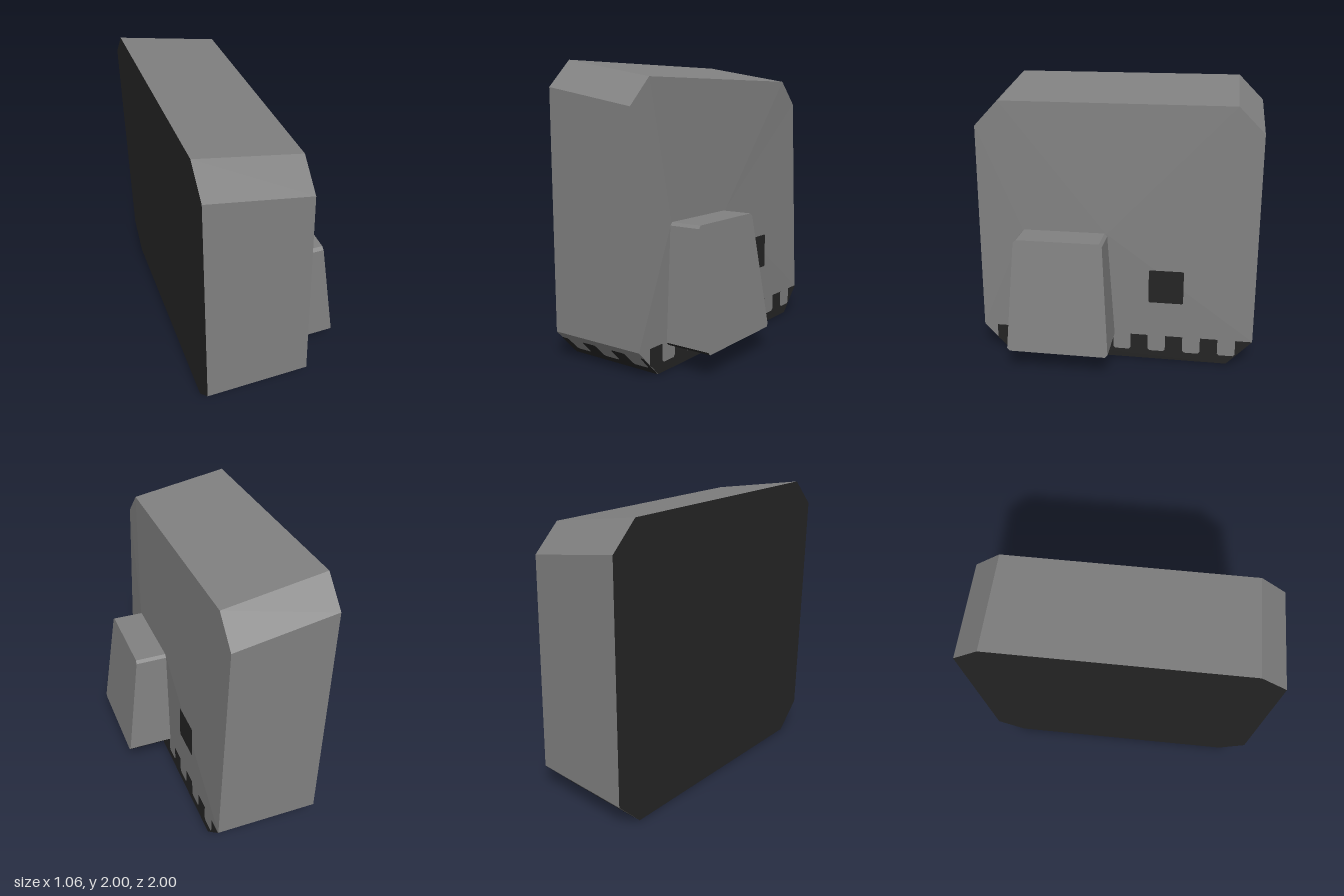
import * as THREE from 'three';

const grey = new THREE.MeshStandardMaterial({ color: 0x808080 });
grey.name = 'grey';
const dark = new THREE.MeshStandardMaterial({ color: 0x242424 });
dark.name = 'charcoal';

// Flat-shaded mesh from a list of triangles, each made of three [x, y, z] corners
function facetMesh(name, triangles, material) {
  const geometry = new THREE.BufferGeometry();
  geometry.setAttribute('position', new THREE.Float32BufferAttribute(triangles.flat(2), 3));
  geometry.computeVertexNormals();
  const mesh = new THREE.Mesh(geometry, material);
  mesh.name = name;
  return mesh;
}

// Two triangles joining edge i of the outer ring to the inner ring
function rimQuad(outer, inner, i) {
  const j = (i + 1) % outer.length;
  return [[outer[j], outer[i], inner[i]], [outer[j], inner[i], inner[j]]];
}

const fan = ring => ring.slice(2).map((p, i) => [ring[0], ring[i + 1], p]);

function plate(name, points) {
  const shape = new THREE.Shape(points.map(p => new THREE.Vector2(...p)));
  const mesh = new THREE.Mesh(new THREE.ShapeGeometry(shape), dark);
  mesh.name = name;
  return mesh;
}

// Upper outline of a row of teeth, left to right, with cut notch corners
function toothLine(notches, base, top, cutTop) {
  const c = 0.014;
  return notches.flatMap(([a, b]) => [
    [a - cutTop, top], [a, top - cutTop], [a, base + c], [a + c, base],
    [b - c, base], [b, base + c], [b, top - cutTop], [b + cutTop, top],
  ]);
}

function buildBody() {
  const body = new THREE.Group();
  body.name = 'body';
  // Octagon corners [z, right y, left y, right x], from the bottom front corner
  const corners = [
    [0.82, 0, 0, 0.2], [-0.82, 0, 0, 0.2], [-1, 0.19, 0.19, 0.2], [-1, 1.7, 1.82, 0.155],
    [-0.82, 1.88, 2, 0.155], [0.82, 1.88, 2, 0.155], [1, 1.7, 1.82, 0.155], [1, 0.19, 0.19, 0.2],
  ];
  const outer = corners.map(([z, y, , x]) => [x, y, z]);
  const inner = corners.map(([z, , y]) => [-0.53, y, z]);
  const [H, G, F, E, D, C, B, A] = outer;
  // The upper part of the broad face folds back from these two points
  const P = [0.2, 0.96, 0.67], Q = [0.2, 0.96, 0.06];
  const face = [
    [H, G, F], [H, F, A], [A, F, Q], [A, Q, P], [A, P, B],
    [B, P, C], [C, P, Q], [C, Q, D], [D, Q, E], [E, Q, F],
  ];
  const rim = [1, 2, 3, 4, 5, 6, 7].flatMap(i => rimQuad(outer, inner, i));
  body.add(facetMesh('broadFace', face, grey));
  body.add(facetMesh('rim', rim, grey));
  body.add(facetMesh('underside', rimQuad(outer, inner, 0), dark));
  body.add(facetMesh('backPanel', fan([...inner].reverse()), dark));
  return body;
}

function buildSideBox() {
  const box = new THREE.Group();
  box.name = 'sideBox';
  const outline = [
    [0.71, 0.162], [0.02, 0.162], [0.003, 0.182], [0.055, 0.945],
    [0.075, 0.965], [0.66, 0.965], [0.68, 0.945], [0.727, 0.182],
  ];
  // The end slopes outward towards the bottom
  const outer = outline.map(([z, y]) => [0.423 + (0.965 - y) * 0.134, y, z]);
  const inner = outline.map(([z, y]) => [0.195, y, z]);
  const sides = [2, 3, 4, 5, 6].flatMap(i => rimQuad(outer, inner, i));
  const bottom = [7, 0, 1].flatMap(i => rimQuad(outer, inner, i));
  box.add(facetMesh('boxSides', sides, grey));
  box.add(facetMesh('boxBottom', bottom, dark));
  box.add(facetMesh('boxEnd', fan(outer), grey));
  return box;
}

// Teeth along the bottom of the broad face
function buildSideTeeth() {
  const notches = [];
  for (let k = 0; k < 7; k++) {
    const start = -0.775 + k * 0.2545;
    notches.push([start, start + 0.128]);
  }
  const mesh = plate('sideTeeth', [
    [-0.82, 0], [0.82, 0], [1, 0.19],
    ...toothLine(notches, 0.065, 0.19, 0).reverse(),
    [-0.9, 0.19], [-0.9, 0.08], [-0.882, 0.065],
  ]);
  mesh.rotation.y = Math.PI / 2;
  mesh.position.x = 0.203;
  return mesh;
}

// Teeth on a sloping lower edge; the back set is turned around
function buildEdgeTeeth(name, back) {
  const slope = Math.hypot(0.18, 0.19) / 0.19;
  let notches = [[-0.465, -0.335], [-0.215, -0.08], [0.04, 0.17]];
  let [x0, x1] = [-0.53, 0.2];
  if (back) {
    notches = notches.map(([a, b]) => [-b, -a]).reverse();
    [x0, x1] = [-x1, -x0];
  }
  const top = (back ? 0.19 : 0.143) * slope;
  const mesh = plate(name, [
    [x0, 0], [x1, 0], [x1, top],
    ...toothLine(notches, 0.05 * slope, top, back ? 0 : 0.012).reverse(),
    [x0, top],
  ]);
  mesh.rotation.x = Math.atan2(0.18, 0.19);
  mesh.position.set(0, -0.001, 0.823);
  const holder = new THREE.Group();
  holder.name = name + 'Holder';
  holder.rotation.y = back ? Math.PI : 0;
  holder.add(mesh);
  return holder;
}

// Dark square opening with slightly cut corners
function buildWindow() {
  const h = 0.125, c = 0.118;
  const mesh = plate('window', [
    [-c, -h], [c, -h], [h, -c], [h, c], [c, h], [-c, h], [-h, c], [-h, -c],
  ]);
  mesh.rotation.y = Math.PI / 2;
  mesh.position.set(0.203, 0.58, -0.37);
  return mesh;
}

export function createModel() {
  const model = new THREE.Group();
  model.name = 'model';
  model.add(
    buildBody(), buildSideBox(), buildSideTeeth(), buildWindow(),
    buildEdgeTeeth('frontTeeth', false), buildEdgeTeeth('backTeeth', true),
  );
  return model;
}
